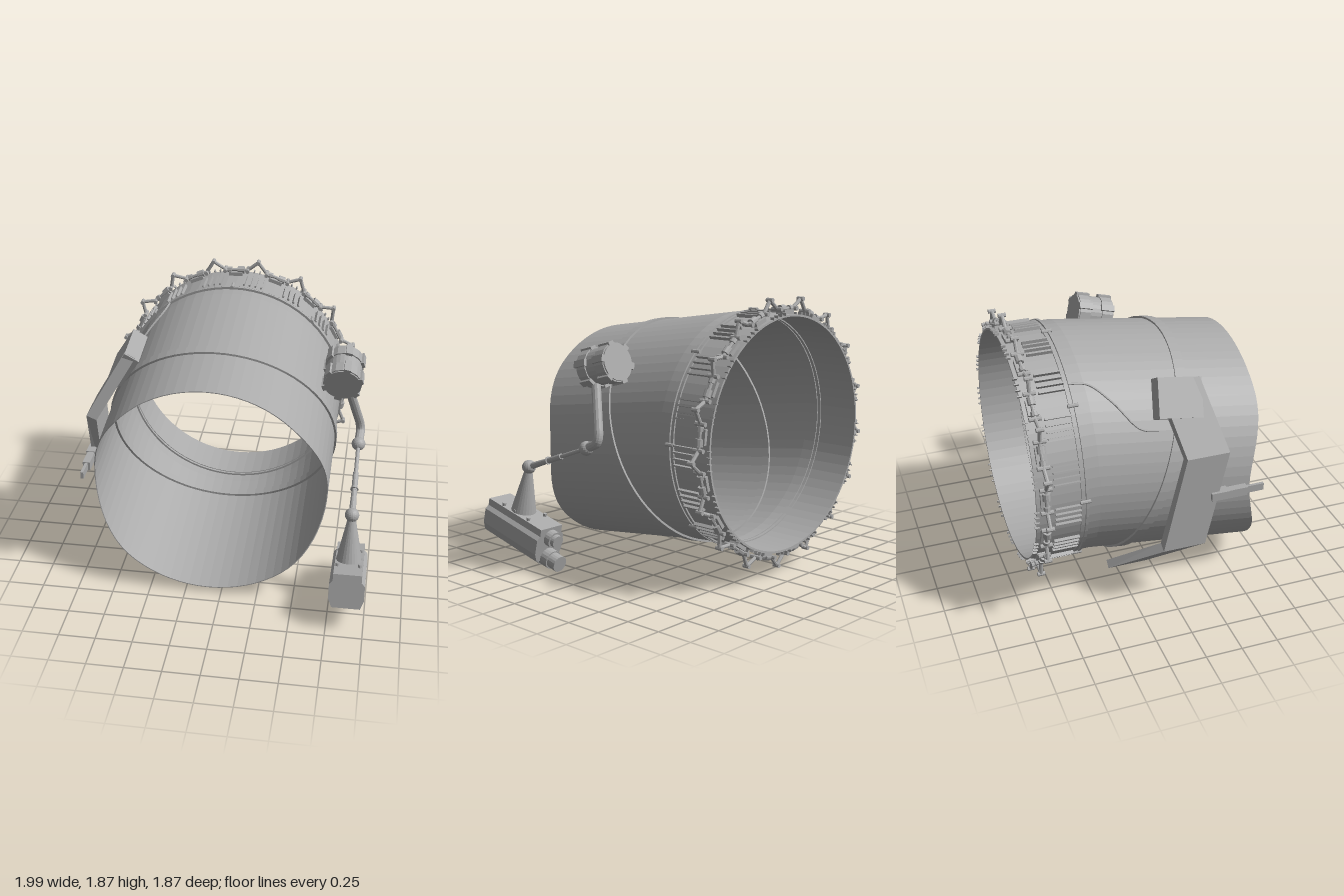
import * as THREE from 'three';

const CX = -0.09, CY = 0.98, SEG = 72;
const grey = new THREE.MeshStandardMaterial({ color: 0xaaaaaa, flatShading: true, side: THREE.DoubleSide });
grey.name = 'plain grey';
const V = (x, y, z) => new THREE.Vector3(x, y, z);

function add(parent, geometry, name) {
  const m = new THREE.Mesh(geometry, grey);
  m.name = name;
  parent.add(m);
  return m;
}

// Point on the gently bent duct at an angle, a depth and an offset from its skin
function skin(t, z, off = 0) {
  const f = Math.max(0, z + 0.5) / 1.15;
  return V(CX + (0.795 + off) * Math.cos(t), CY - 0.155 * f + (0.79 - 0.013 * f + off) * Math.sin(t), z);
}

// Surface from matching loops of points
function loft(rows, closeU, closeV) {
  const n = rows.length, m = rows[0].length, idx = [];
  for (let i = 0; i < (closeU ? n : n - 1); i++)
    for (let j = 0; j < (closeV ? m : m - 1); j++) {
      const k = (j + 1) % m, h = ((i + 1) % n) * m, a = i * m;
      idx.push(a + j, h + j, h + k, a + j, h + k, a + k);
    }
  if (!closeU && closeV) {
    const e = (n - 1) * m;
    for (let j = 1; j < m - 1; j++) idx.push(0, j, j + 1, e, e + j + 1, e + j);
  }
  const g = new THREE.BufferGeometry().setFromPoints(rows.flat());
  g.setIndex(idx);
  g.computeVertexNormals();
  return g;
}

// Ring round the duct; profile(angle) lists [offset, z]
function ring(parent, name, profile, closed = true) {
  const rows = [];
  for (let i = 0; i < SEG; i++) {
    const t = (i / SEG) * Math.PI * 2;
    rows.push(profile(t).map(([o, z]) => skin(t, z, o)));
  }
  return add(parent, loft(rows, true, closed), name);
}
const hoop = (o0, o1, z0, z1) => [[o1, z0], [o1, z1], [o0, z1], [o0, z0]];

function rod(parent, name, a, b, r0, r1 = r0, sides = 12) {
  const d = b.clone().sub(a);
  const m = add(parent, new THREE.CylinderGeometry(r1, r0, d.length(), sides), name);
  m.position.copy(a).addScaledVector(d, 0.5);
  m.quaternion.setFromUnitVectors(V(0, 1, 0), d.normalize());
  return m;
}
function ball(parent, name, p, r) {
  add(parent, new THREE.SphereGeometry(r, 18, 12), name).position.copy(p);
}
function box(parent, name, w, h, d, x, y, z) {
  const m = add(parent, new THREE.BoxGeometry(w, h, d), name);
  m.position.set(x, y, z);
  return m;
}

function buildDuct(root) {
  const g = new THREE.Group();
  g.name = 'duct';
  root.add(g);
  // Main skin with a wavy front rim
  ring(g, 'ductSkin', t => {
    const front = 0.53 + 0.12 * THREE.MathUtils.smoothstep(Math.abs(Math.sin(t)), 0, 0.75);
    return [[0, -0.6], [0, -0.5], [0, front], [-0.006, front], [-0.006, -0.5], [-0.006, -0.6]];
  });
  // Slanted band, outside and inside
  const slant = t => -0.075 + 0.36 * 0.775 * Math.sin(t);
  ring(g, 'slantedBand', t => hoop(-0.004, 0.014, slant(t) - 0.035, slant(t) + 0.035));
  ring(g, 'innerSlantedBand', t => hoop(-0.022, -0.004, slant(t) - 0.03, slant(t) + 0.03));
  // Rear collar and its flanges
  ring(g, 'rearCollar', () => hoop(-0.012, 0.002, -0.92, -0.6));
  ring(g, 'flangeFront', () => hoop(-0.02, 0.016, -0.6, -0.582));
  ring(g, 'flangeRear', () => hoop(-0.02, 0.013, -0.63, -0.608));
  for (let i = 0; i < 8; i++) {
    const t = 0.8 + (i * Math.PI) / 4;
    rod(g, 'flangeClamp', skin(t, -0.64, 0.016), skin(t, -0.572, 0.016), 0.013, 0.013, 8);
  }
}

// Rear ring of zigzag links, with ribs on the collar below
function buildLinkRing(root) {
  const g = new THREE.Group();
  g.name = 'linkRing';
  root.add(g);
  const COUNT = 17, step = (Math.PI * 2) / COUNT, Z = -0.86, deg = Math.PI / 180;
  const at = (t, r, z = Z) => V(CX + r * Math.cos(t), CY + r * Math.sin(t), z);
  for (let i = 0; i < COUNT; i++) {
    const t = 81 * deg + i * step, a = t - 5.2 * deg, b = t + 4.6 * deg, next = a + step;
    const peak = at(t, 0.9), footA = at(a, 0.83), footB = at(b, 0.83), footC = at(next, 0.83);
    rod(g, 'linkLeg', footA, peak, 0.013, 0.013, 8);
    rod(g, 'linkLeg', footB, peak, 0.013, 0.013, 8);
    rod(g, 'peakPin', at(t, 0.9, Z - 0.025), at(t, 0.9, Z + 0.025), 0.015, 0.015, 8);
    for (const f of [a, b])
      rod(g, 'footPin', at(f, 0.83, Z - 0.04), at(f, 0.83, Z + 0.04), 0.015, 0.015, 8);
    // Turnbuckle
    const mix = s => footB.clone().lerp(footC, s);
    rod(g, 'turnbuckleRod', footB, footC, 0.012, 0.012, 8);
    rod(g, 'turnbuckleBody', mix(0.15), mix(0.45), 0.026, 0.026, 10);
    rod(g, 'turnbuckleNut', mix(0.72), mix(0.9), 0.022, 0.022, 8);
    // Ribs and end hooks
    for (let k = 0; k < 4; k++) {
      const p = t + (k - 1.5) * 3.0 * deg;
      const rib = box(g, 'collarRib', 0.024, 0.011, 0.17, 0, 0, 0);
      rib.position.copy(at(p, 0.805, -0.715));
      rib.rotation.z = p;
      const hook = box(g, 'endHook', 0.018, 0.008, 0.03, 0, 0, 0);
      hook.position.copy(at(p, 0.8, -0.918));
      hook.rotation.z = p;
    }
    const saddle = box(g, 'linkSaddle', 0.03, 0.1, 0.07, 0, 0, 0);
    saddle.position.copy(at(t + step / 2, 0.803, Z));
    saddle.rotation.z = t + step / 2;
  }
}

// Bent equipment housing wrapped round the right side
function buildHousing(root) {
  const g = new THREE.Group();
  g.name = 'sideHousing';
  root.add(g);
  // outer x, y, inner x, y, rear z, front z
  const rows = [
    [-0.71, 1.62, -0.64, 1.58, -0.06, 0.22], [-0.97, 1.18, -0.9, 1.15, 0.05, 0.34],
    [-0.97, 0.5, -0.91, 0.53, -0.1, 0.19], [-0.71, 0.25, -0.67, 0.29, -0.4, -0.13],
  ].map(([ox, oy, ix, iy, z0, z1]) => [V(ox, oy, z0), V(ox, oy, z1), V(ix, iy, z1), V(ix, iy, z0)]);
  add(g, loft(rows, false, true), 'bentHousing');
  const block = box(g, 'controlBlock', 0.11, 0.26, 0.3, -0.73, 1.5, 0.065);
  block.rotation.set(0.15, 0, -0.56);
  box(g, 'lug', 0.05, 0.06, 0.25, -0.955, 0.86, 0.35);
  box(g, 'lugTip', 0.02, 0.05, 0.13, -0.955, 0.86, 0.53);
  box(g, 'lugPlate', 0.07, 0.05, 0.12, -0.955, 0.87, 0.28);
  // Cable to the rear flange
  const pts = [[-0.78, -0.08], [-0.77, -0.2], [-0.66, -0.35], [-0.57, -0.48], [-0.55, -0.6]]
    .map(([x, z]) => skin(Math.acos((x - CX) / 0.795), z, 0.012));
  add(g, new THREE.TubeGeometry(new THREE.CatmullRomCurve3(pts), 30, 0.007, 6), 'cable');
}

function buildArm(root) {
  const g = new THREE.Group();
  g.name = 'jointedArm';
  root.add(g);
  // Drum mount
  const drum = new THREE.Group();
  drum.name = 'drum';
  drum.position.set(0.745, 1.445, -0.05);
  drum.rotation.x = 0.26;
  g.add(drum);
  rod(drum, 'drumBody', V(0, 0, -0.135), V(0, 0, 0.135), 0.122, 0.122, 28);
  for (const z of [-0.085, 0.085]) rod(drum, 'drumCollar', V(0, 0, z - 0.04), V(0, 0, z + 0.04), 0.131, 0.131, 16);
  for (let i = 0; i < 6; i++) {
    const t = (i * Math.PI) / 3 + 0.3;
    for (const z of [-0.085, 0.085]) {
      const c = box(drum, 'drumClamp', 0.024, 0.045, 0.1, 0.13 * Math.cos(t), 0.13 * Math.sin(t), z);
      c.rotation.z = t;
    }
  }
  // Upper pipe with elbow, then slim lower rod
  const bend = new THREE.CurvePath(), p = [V(0.79, 1.33, -0.02), V(0.87, 1.03, -0.12), V(0.885, 0.96, -0.135), V(0.875, 0.91, -0.01)];
  bend.add(new THREE.LineCurve3(p[0], p[1]));
  bend.add(new THREE.QuadraticBezierCurve3(p[1], p[2], V(0.88, 0.945, -0.09)));
  bend.add(new THREE.LineCurve3(V(0.88, 0.945, -0.09), p[3]));
  add(g, new THREE.TubeGeometry(bend, 40, 0.032, 12), 'upperPipe');
  const upper = V(0.875, 0.91, -0.01), lower = V(0.875, 0.7, 0.565);
  const mix = s => upper.clone().lerp(lower, s);
  ball(g, 'elbowBall', upper, 0.048);
  rod(g, 'lowerRod', upper, mix(0.5), 0.014);
  rod(g, 'lowerRodSleeve', mix(0.42), mix(0.67), 0.02);
  rod(g, 'lowerRodCollar', mix(0.645), mix(0.655), 0.028);
  rod(g, 'lowerRodEnd', mix(0.65), lower, 0.018, 0.024);
  ball(g, 'wristBall', lower, 0.048);
  rod(g, 'neckCone', V(0.875, 0.37, 0.635), V(0.875, 0.68, 0.57), 0.09, 0.026, 24);
}

// Tilted instrument head under the neck
function buildHead(root) {
  const g = new THREE.Group();
  g.name = 'instrumentHead';
  g.position.set(0.878, 0.26, 0.64);
  g.rotation.x = -0.235;
  root.add(g);
  const s = new THREE.Shape([[-0.095, 0.12], [-0.095, 0.07], [-0.118, 0.045], [-0.118, -0.06], [-0.095, -0.12],
    [0.095, -0.12], [0.118, -0.06], [0.118, 0.045], [0.095, 0.07], [0.095, 0.12]].map(q => new THREE.Vector2(...q)));
  const body = new THREE.ExtrudeGeometry(s, { depth: 0.56, bevelEnabled: false });
  add(g, body.translate(0, 0, -0.28), 'headBody');
  rod(g, 'upperLens', V(0, 0.045, -0.25), V(0, 0.045, -0.33), 0.058, 0.058, 20);
  rod(g, 'upperLensTip', V(0, 0.045, -0.33), V(0, 0.045, -0.36), 0.045, 0.045, 20);
  rod(g, 'lowerBarrel', V(0, -0.1, 0.05), V(0, -0.1, -0.26), 0.072, 0.072, 20);
  rod(g, 'lowerLens', V(0, -0.1, -0.24), V(0, -0.1, -0.34), 0.066, 0.066, 20);
  rod(g, 'lowerLensTip', V(0, -0.1, -0.34), V(0, -0.1, -0.41), 0.056, 0.056, 20);
  for (const x of [-0.075, 0.075])
    for (const z of [-0.12, 0.02, 0.14]) rod(g, 'headBolt', V(x, 0.11, z), V(x, 0.14, z), 0.013, 0.013, 8);
}

export function createModel() {
  const root = new THREE.Group();
  root.name = 'ductWithArm';
  buildDuct(root);
  buildLinkRing(root);
  buildHousing(root);
  buildArm(root);
  buildHead(root);
  return root;
}
